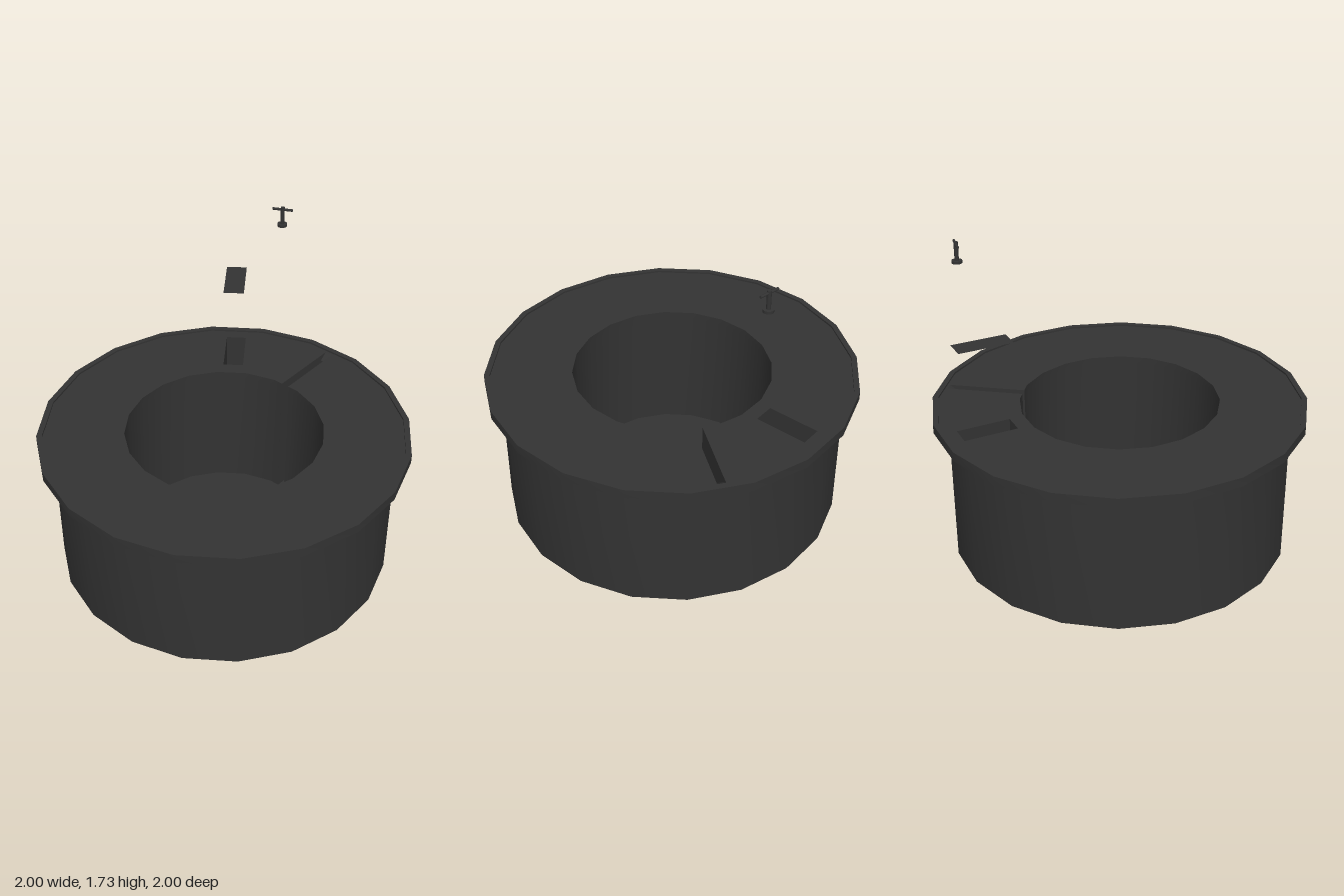
import * as THREE from 'three';
import { toCreasedNormals } from 'three/addons/utils/BufferGeometryUtils.js';

const SIDES = 20;
const TOP = 0.8;
const FLOOR = 0.05;
const POCKET = { x: -0.118, z: -0.742, w: 0.113, l: 0.288, angle: 0.167 };

// Plan outlines use (x, -z), counter-clockwise from above.
const polar = (r, a) => new THREE.Vector2(r * Math.cos(a), r * Math.sin(a));
const ring = (r) => Array.from({ length: SIDES }, (_, i) => polar(r, (i * 2 * Math.PI) / SIDES));

// Central well outline with a thin radial slot reaching out to slotEnd
function wellOutline(slotEnd) {
  const pts = ring(0.535);
  const a = THREE.MathUtils.degToRad(63.4);
  const along = polar(1, a);
  const across = polar(0.022, a + Math.PI / 2);
  const at = (r, s) => along.clone().multiplyScalar(r).addScaledVector(across, s);
  pts.splice(4, 0, at(0.528, -1), at(slotEnd, -1), at(slotEnd, 1), at(0.528, 1));
  return pts;
}

// Rotated rectangle of the pocket and its lid
function pocketOutline() {
  const { x, z, w, l, angle } = POCKET;
  return [[-1, -1], [1, -1], [1, 1], [-1, 1]].map(([i, j]) =>
    new THREE.Vector2((i * w) / 2, (j * l) / 2)
      .rotateAround(new THREE.Vector2(), angle)
      .add(new THREE.Vector2(x, -z)));
}

// Inward-facing walls through stacked outlines, listed from top to bottom
function walls(levels) {
  const pos = [];
  for (let k = 0; k + 1 < levels.length; k++) {
    const [up, down] = [levels[k], levels[k + 1]];
    up.pts.forEach((_, i) => {
      const j = (i + 1) % up.pts.length;
      const v = (lv, n) => [lv.pts[n].x, lv.y, -lv.pts[n].y];
      pos.push(...v(up, i), ...v(up, j), ...v(down, j));
      pos.push(...v(up, i), ...v(down, j), ...v(down, i));
    });
  }
  const g = new THREE.BufferGeometry();
  g.setAttribute('position', new THREE.Float32BufferAttribute(pos, 3));
  return toCreasedNormals(g, 0.4);
}

// Flat upward face at height y
function flat(pts, y, holes = []) {
  const shape = new THREE.Shape(pts);
  shape.holes = holes.map((h) => new THREE.Path(h));
  return new THREE.ShapeGeometry(shape).rotateX(-Math.PI / 2).translate(0, y, 0);
}

export function createModel() {
  const model = new THREE.Group();
  const dark = new THREE.MeshStandardMaterial({ color: 0x333333 });
  const thin = new THREE.MeshStandardMaterial({ color: 0x333333, side: THREE.DoubleSide });
  const add = (name, geometry, parent = model, material = dark) => {
    const mesh = new THREE.Mesh(geometry, material);
    mesh.name = name;
    parent.add(mesh);
    return mesh;
  };

  // Drum with overhanging rim and a slight lip
  const profile = [[0, 0], [0.92, 0], [0.92, 0.76], [1, 0.76], [1, 0.81], [0.97, 0.81], [0.97, TOP]]
    .map(([r, y]) => new THREE.Vector2(r, y));
  add('drumShell', toCreasedNormals(new THREE.LatheGeometry(profile, SIDES), 0.4));

  // Top face, cut by the well, its slot and the pocket
  const well = wellOutline(0.945);
  const wellDeep = wellOutline(0.9);
  const pocket = pocketOutline();
  add('topFace', flat(ring(0.97), TOP, [well, pocket]));
  add('wellWalls', walls([
    { pts: well, y: TOP }, { pts: wellDeep, y: 0.765 }, { pts: wellDeep, y: FLOOR },
  ]));
  add('wellFloor', flat(wellDeep, FLOOR));
  add('pocketWalls', walls([{ pts: pocket, y: TOP }, { pts: pocket, y: 0.55 }]));
  add('pocketFloor', flat(pocket, 0.55));

  // Thin lid hovering over the pocket
  add('pocketLid', flat(pocket, 1.28), model, thin);

  // Small T-shaped handle hovering above
  const handle = new THREE.Group();
  handle.name = 'handle';
  handle.position.set(0.128, 1.62, -0.8);
  model.add(handle);
  add('handleBase', new THREE.CylinderGeometry(0.027, 0.027, 0.014, 16), handle).position.y = 0.007;
  add('handleStem', new THREE.CylinderGeometry(0.011, 0.011, 0.1, 16), handle).position.y = 0.06;
  const bar = add('handleBar', new THREE.CylinderGeometry(0.007, 0.007, 0.11, 16), handle);
  bar.rotation.z = Math.PI / 2;
  bar.position.y = 0.097;

  return model;
}
